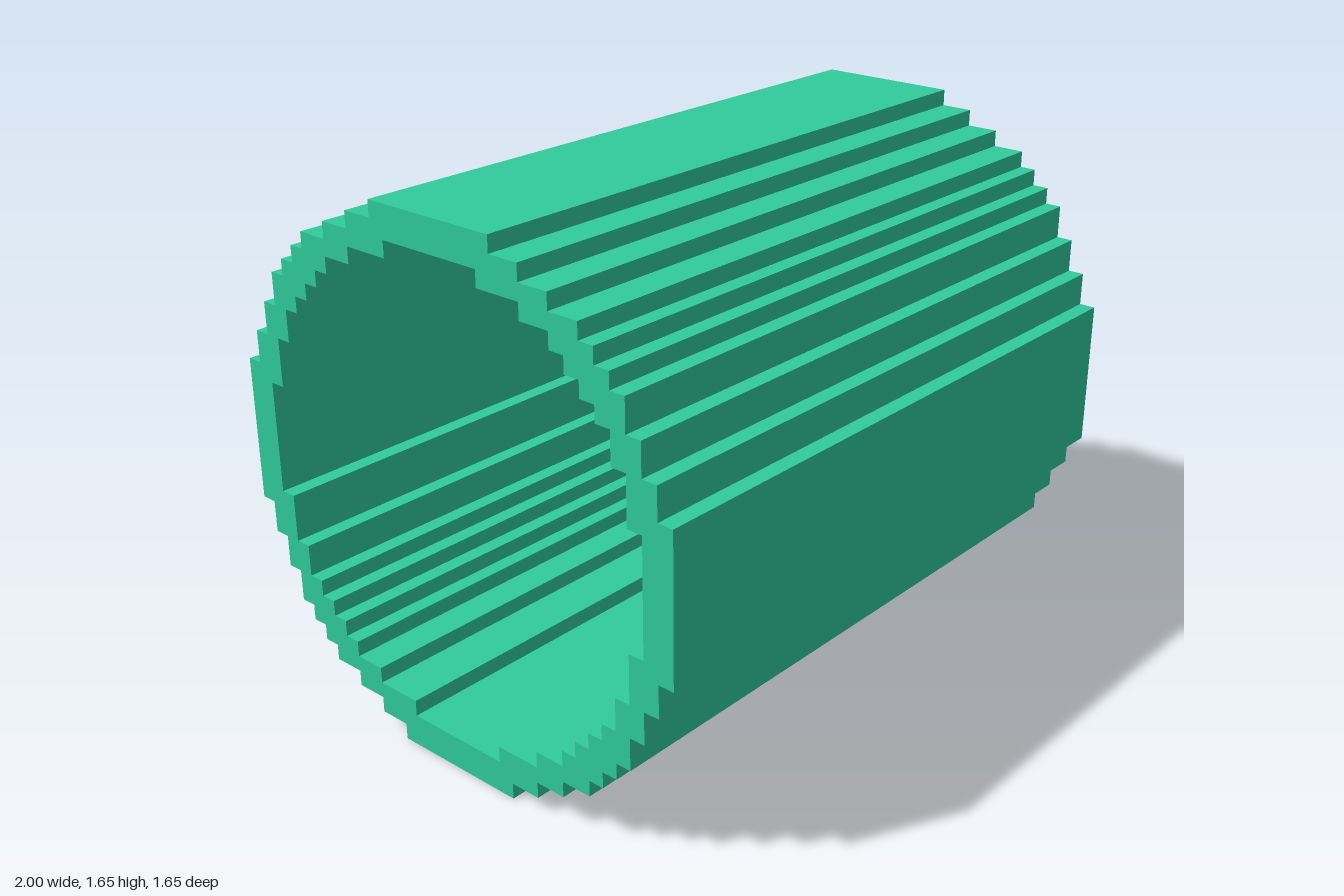
import * as THREE from 'three';

const UNIT = 0.05; // size of one step
const LENGTH = 2;
const CENTRE_Y = 16.5 * UNIT;

// Outer corners of each step, from the top round to the side: [across, up], in steps
const OUTER = [[4.5, 16.5], [6.5, 15.5], [8.5, 14.5], [10.5, 13.5], [11.5, 12.5],
  [12.5, 11.5], [13.5, 10.5], [14.5, 8.5], [15.5, 6.5], [16.5, 4.5]];
const INNER = [[3.5, 14.5], [6.5, 13.5], [8.5, 12.5], [9.5, 11.5], [10.5, 10.5],
  [11.5, 9.5], [12.5, 8.5], [13.5, 6.5], [14.5, 3.5]];

// Full stepped ring, clockwise: add the notches between steps, then mirror the quarter
function steppedRing(steps) {
  const quarter = [];
  steps.forEach(([a, b], i) => {
    quarter.push([a, b]);
    if (i < steps.length - 1) quarter.push([a, steps[i + 1][1]]);
  });
  const back = [...quarter].reverse();
  const mirror = (list, sx, sy) =>
    list.map(([a, b]) => new THREE.Vector2(a * sx * UNIT, b * sy * UNIT));
  return [...mirror(quarter, 1, 1), ...mirror(back, 1, -1),
    ...mirror(quarter, -1, -1), ...mirror(back, -1, 1)];
}

export function createModel() {
  const group = new THREE.Group();
  group.name = 'steppedTube';
  const green = new THREE.MeshStandardMaterial({ color: 0x30cb9c });
  green.name = 'green';

  // Hollow tube wall, open at both ends, lying along x; the hole runs
  // the opposite way round so that the bore faces inwards
  const section = new THREE.Shape(steppedRing(OUTER));
  section.holes.push(new THREE.Path(steppedRing(INNER).reverse()));
  const geometry = new THREE.ExtrudeGeometry(section, { depth: LENGTH, bevelEnabled: false });
  geometry.translate(0, 0, -LENGTH / 2);
  geometry.rotateY(Math.PI / 2);
  geometry.translate(0, CENTRE_Y, 0);

  const wall = new THREE.Mesh(geometry, green);
  wall.name = 'tubeWall';
  group.add(wall);
  return group;
}
